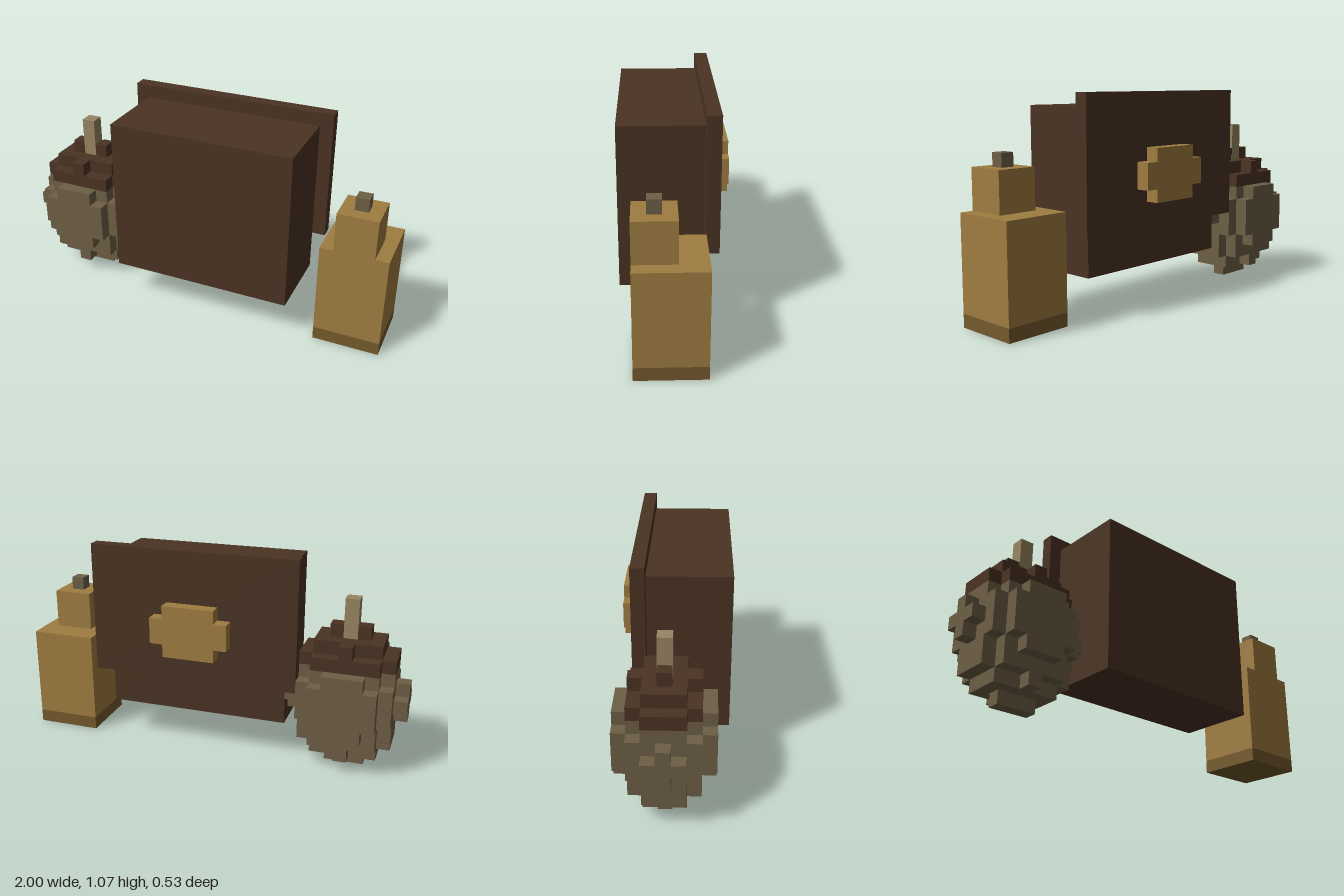
import * as THREE from 'three';

const U = 1 / 15; // one block unit

function material(name, color) {
  const m = new THREE.MeshStandardMaterial({ color });
  m.name = name;
  return m;
}

export function createModel() {
  const darkBrown = material('dark brown', 0x4a3323);
  const tan = material('tan', 0xa07d41);
  const darkTan = material('dark tan', 0x755a2c);
  const greyBrown = material('grey brown', 0x6e5f46);
  const paleWood = material('pale wood', 0x988562);

  const model = new THREE.Group();
  const group = (name) => {
    const g = new THREE.Group();
    g.name = name;
    model.add(g);
    return g;
  };
  // Box between two corners given in block units
  const block = (parent, name, mat, [x0, y0, z0], [x1, y1, z1]) => {
    const geo = new THREE.BoxGeometry((x1 - x0) * U, (y1 - y0) * U, (z1 - z0) * U);
    const mesh = new THREE.Mesh(geo, mat);
    mesh.position.set((x0 + x1) * U / 2, (y0 + y1) * U / 2, (z0 + z1) * U / 2);
    mesh.name = name;
    parent.add(mesh);
  };

  // Satchel: body, back flap and stepped clasp
  const bag = group('bag');
  block(bag, 'bagBody', darkBrown, [-6, 3, -2], [8, 15, 4]);
  block(bag, 'bagFlap', darkBrown, [-7, 6, -3], [9, 16, -2]);
  block(bag, 'claspCentre', tan, [-1, 8, -4], [3, 12, -3]);
  block(bag, 'claspRightEnd', tan, [-2, 9, -4], [-1, 11, -3]);
  block(bag, 'claspLeftEnd', tan, [3, 9, -4], [4, 11, -3]);

  // Bottle with an offset neck
  const bottle = group('bottle');
  block(bottle, 'bottleBase', darkTan, [10, 0, -2], [15, 1, 3]);
  block(bottle, 'bottleBody', tan, [10, 1, -2], [15, 8, 3]);
  block(bottle, 'bottleNeck', tan, [11, 8, 0], [14, 11, 3]);
  block(bottle, 'bottleTip', greyBrown, [12, 11, 1], [13, 12, 2]);

  // Acorn: stacked layers, half extents [x, z] by distance from the middle layer
  const acorn = group('acorn');
  const layers = [
    [[4.5, 1.5], [3.5, 2.5], [2.5, 3.5]],
    [[4.5, 0.5], [3.5, 2.5], [2.5, 3.5]],
    [[3.5, 1.5], [2.5, 2.5], [1.5, 3.5]],
    [[3.5, 1.5], [2.5, 2.5]],
    [[2.5, 1.5], [0.5, 2.5]],
    [[1.5, 0.5]],
  ];
  const cx = -10.5, cz = -0.5;
  for (let i = -5; i <= 5; i++) {
    const cap = i >= 3;
    for (const [hx, hz] of layers[Math.abs(i)]) {
      block(acorn, cap ? 'acornCap' : 'acornNut', cap ? darkBrown : greyBrown,
        [cx - hx, 5 + i, cz - hz], [cx + hx, 6 + i, cz + hz]);
    }
  }
  // Slightly proud of the cap so the stem stays visible between its side blocks
  block(acorn, 'acornStem', paleWood, [-11.02, 10, -1.02], [-9.98, 13, 0.02]);

  return model;
}
